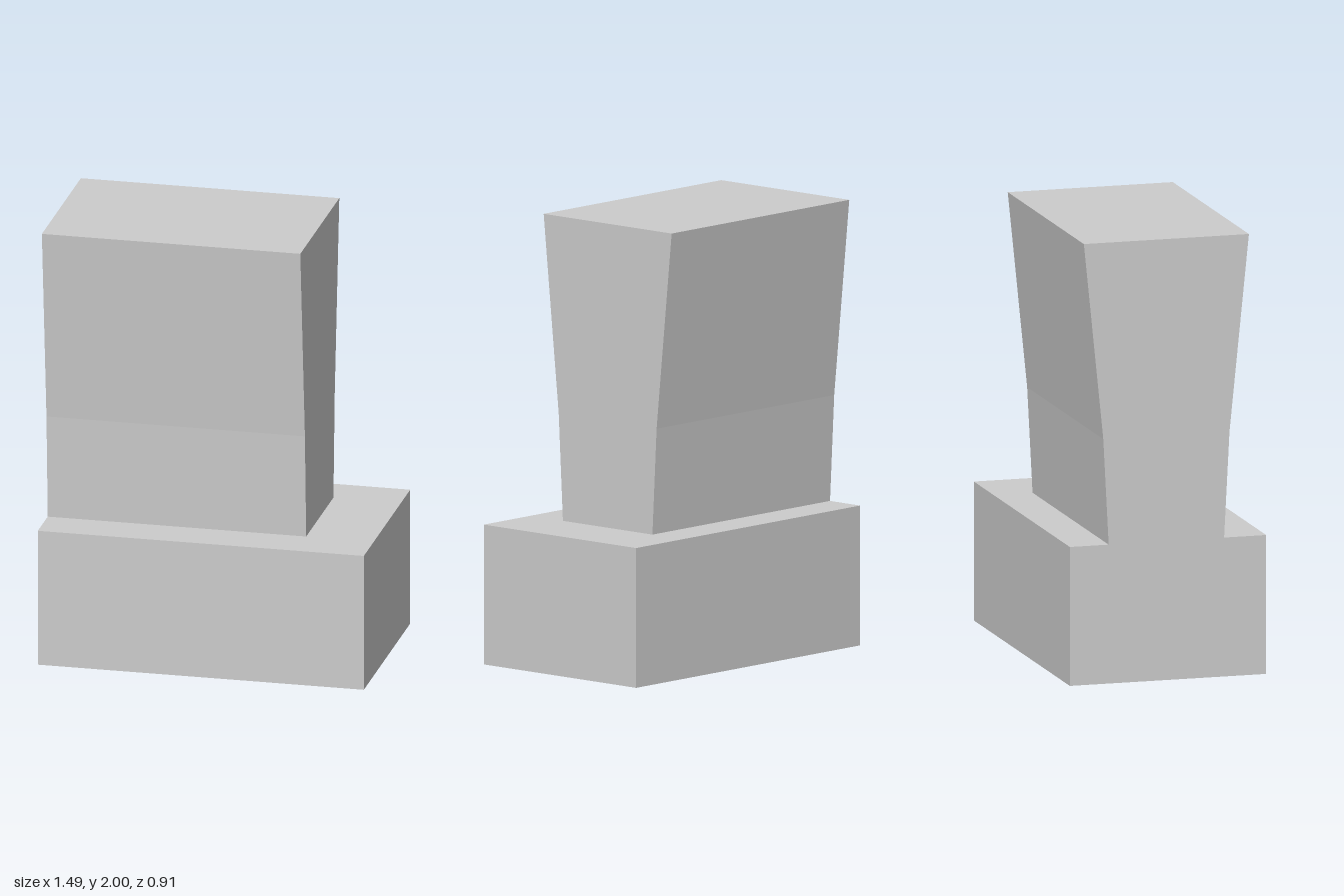
import * as THREE from 'three';

export function createModel() {
  const group = new THREE.Group();
  const material = new THREE.MeshStandardMaterial({ color: 0xcccccc, flatShading: true });

  // Rectangular plinth
  const base = new THREE.Mesh(new THREE.BoxGeometry(1.486, 0.63, 0.91), material);
  base.name = 'base';
  base.position.set(0, 0.315, 0);
  group.add(base);

  // Flared upright: side profile as (z, y), extruded along x, flush with the base at -x
  const profile = [
    [0.26, 0.63], [0.285, 1.11], [0.375, 2],
    [-0.39, 2], [-0.3, 1.11], [-0.275, 0.63],
  ].map(([z, y]) => new THREE.Vector2(z, y));
  const geometry = new THREE.ExtrudeGeometry(new THREE.Shape(profile), { depth: 1.178, bevelEnabled: false });
  geometry.rotateY(-Math.PI / 2).translate(0.435, 0, 0);
  const upright = new THREE.Mesh(geometry, material);
  upright.name = 'flaredUpright';
  group.add(upright);

  return group;
}
